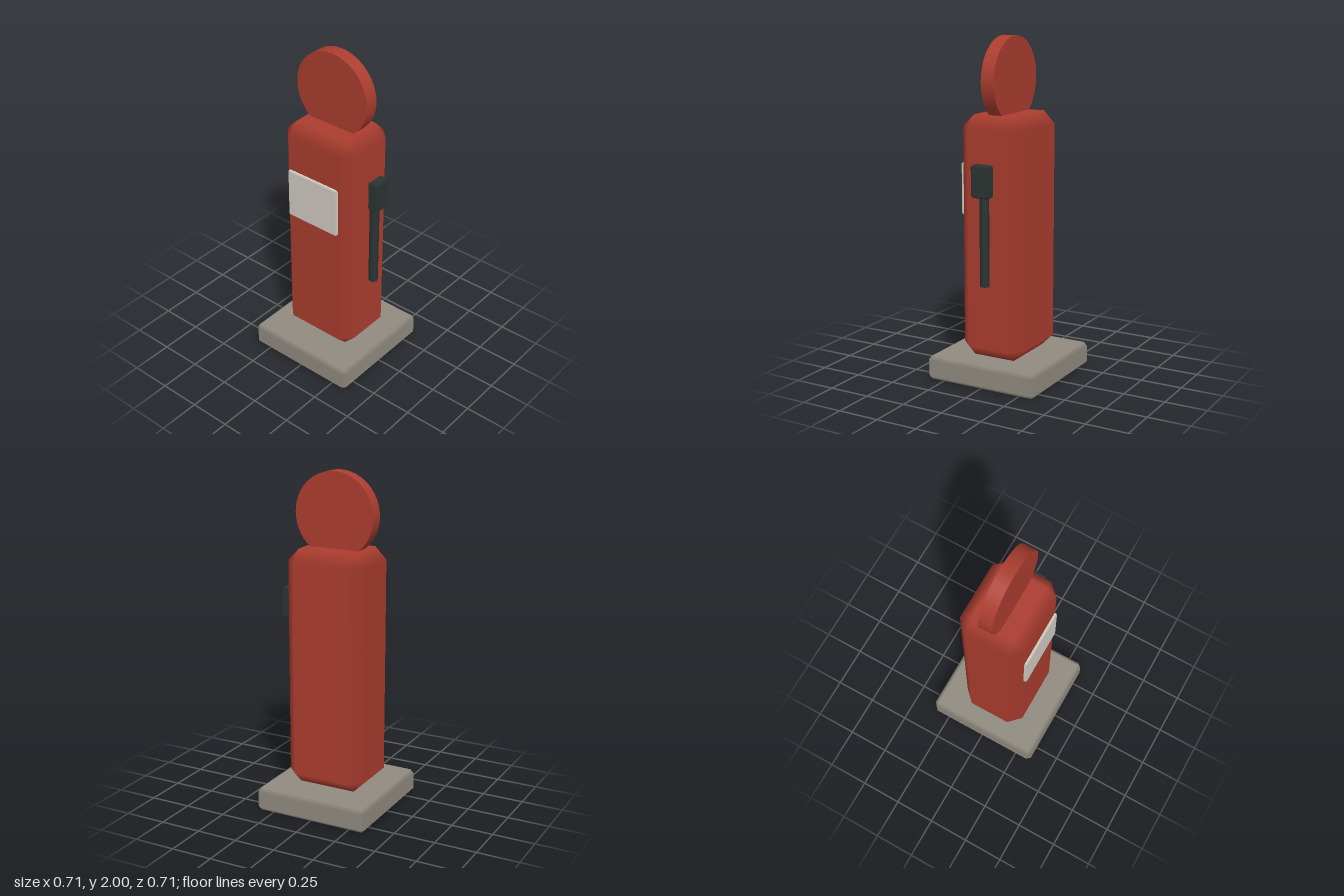
import * as THREE from 'three';
import { ConvexGeometry } from 'three/addons/geometries/ConvexGeometry.js';

const paint = (name, color) => {
  const m = new THREE.MeshStandardMaterial({ color });
  m.name = name;
  return m;
};

// Box with one flat bevel per edge; the bevels shade smoothly between the faces
function bevelBox(w, h, d, bevel) {
  const half = [w / 2, h / 2, d / 2];
  const points = [];
  for (let axis = 0; axis < 3; axis++)
    for (const sx of [-1, 1]) for (const sy of [-1, 1]) for (const sz of [-1, 1]) {
      const p = [sx, sy, sz].map((s, i) => s * (half[i] - (i === axis ? 0 : bevel)));
      points.push(new THREE.Vector3(...p));
    }
  const geo = new ConvexGeometry(points);
  const pos = geo.attributes.position, nor = geo.attributes.normal;
  for (let i = 0; i < pos.count; i++) {
    const p = [pos.getX(i), pos.getY(i), pos.getZ(i)];
    nor.setXYZ(i, ...p.map((v, a) => (Math.abs(v) > half[a] - bevel / 2 ? Math.sign(v) : 0)));
  }
  return geo;
}

export function createModel() {
  const red = paint('red paint', 0xac3d2f);
  const stone = paint('grey stone', 0x918b80);
  const pale = paint('pale panel', 0xd2cdc4);
  const rubber = paint('dark rubber', 0x2a3434);

  const model = new THREE.Group();
  model.name = 'fuelPump';
  const add = (name, geo, mat, x, y, z) => {
    const mesh = new THREE.Mesh(geo, mat);
    mesh.name = name;
    mesh.position.set(x, y, z);
    model.add(mesh);
    return mesh;
  };

  // Plinth and cabinet
  add('base', bevelBox(0.71, 0.142, 0.71, 0.023), stone, 0, 0.071, 0);
  add('cabinet', bevelBox(0.495, 1.42, 0.402, 0.071), red, 0, 0.852, 0);

  // Round sign, sunk slightly into the cabinet top
  const sign = add('sign', new THREE.CylinderGeometry(0.247, 0.247, 0.082, 48), red, 0, 1.753, 0);
  sign.rotation.x = Math.PI / 2;

  // Display on the front
  add('display', bevelBox(0.356, 0.305, 0.036, 0.009), pale, 0, 1.127, 0.2);

  // Hose and nozzle on the left side
  add('hose', new THREE.CylinderGeometry(0.028, 0.028, 0.587, 8), rubber, 0.282, 0.892, 0);
  add('nozzle', bevelBox(0.071, 0.185, 0.116, 0.012), rubber, 0.307, 1.21, 0);

  return model;
}
